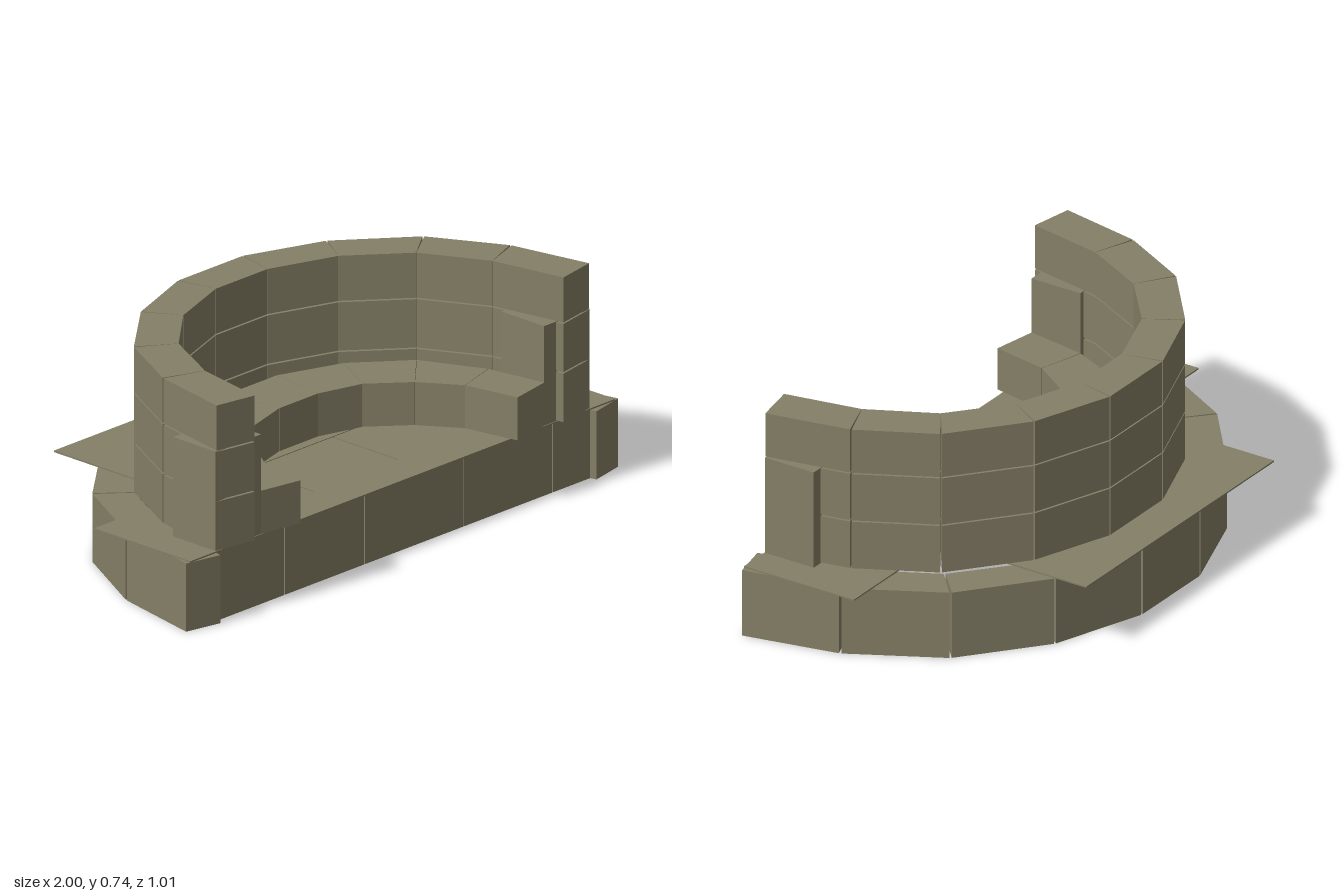
import * as THREE from 'three';

const stone = new THREE.MeshStandardMaterial({ color: 0x857f66 });
stone.name = 'weathered stone';

// Half plans as [x, z], running from the back middle to the front end
const PLANS = {
  base: {
    outer: [[0.165, -0.505], [0.49, -0.39], [0.76, -0.17], [0.93, 0.14], [1.0, 0.47]],
    inner: [[0.145, -0.375], [0.43, -0.275], [0.66, -0.08], [0.805, 0.19], [0.87, 0.498]],
  },
  wall: {
    outer: [[0.15, -0.372], [0.43, -0.27], [0.67, -0.073], [0.805, 0.183], [0.862, 0.473]],
    inner: [[0.12, -0.235], [0.36, -0.15], [0.55, 0.01], [0.665, 0.235], [0.715, 0.5]],
  },
  bench: {
    outer: [[0.115, -0.19], [0.34, -0.11], [0.52, 0.04], [0.62, 0.26], [0.655, 0.472]],
    inner: [[0.09, 0.015], [0.25, 0.06], [0.375, 0.17], [0.465, 0.305], [0.502, 0.5]],
  },
};

// Mirror a half plan into the full run from left to right
const fullRun = (half) => [...half.map(([x, z]) => [-x, z]).reverse(), ...half];

// One block: a plan quad extruded from y0 to y1
function block(corners, y0, y1) {
  const shape = new THREE.Shape(corners.map(([x, z]) => new THREE.Vector2(x, -z)));
  const geo = new THREE.ExtrudeGeometry(shape, { depth: y1 - y0, bevelEnabled: false });
  geo.rotateX(-Math.PI / 2);
  geo.translate(0, y0, 0);
  return new THREE.Mesh(geo, stone);
}

// Curved course of nine blocks, with a narrow joint between neighbours
function course(name, plan, y0, y1, outerGap, innerGap) {
  const group = new THREE.Group();
  group.name = name;
  const outer = fullRun(plan.outer);
  const inner = fullRun(plan.inner);
  const count = outer.length - 1;
  const along = (a, b, d) => {
    const t = d / Math.hypot(b[0] - a[0], b[1] - a[1]);
    return [a[0] + (b[0] - a[0]) * t, a[1] + (b[1] - a[1]) * t];
  };
  for (let i = 0; i < count; i++) {
    const s = i === 0 ? 0 : 1;
    const e = i === count - 1 ? 0 : 1;
    const mesh = block([
      along(outer[i], outer[i + 1], outerGap * s),
      along(outer[i + 1], outer[i], outerGap * e),
      along(inner[i + 1], inner[i], innerGap * e),
      along(inner[i], inner[i + 1], innerGap * s),
    ], y0, y1);
    mesh.name = name + 'Block';
    group.add(mesh);
  }
  return group;
}

// Box given by its limits on each axis
function box(name, x0, x1, y0, y1, z0, z1) {
  const mesh = new THREE.Mesh(new THREE.BoxGeometry(x1 - x0, y1 - y0, z1 - z0), stone);
  mesh.position.set((x0 + x1) / 2, (y0 + y1) / 2, (z0 + z1) / 2);
  mesh.name = name;
  return mesh;
}

export function createModel() {
  const model = new THREE.Group();
  model.name = 'curvedStoneAlcove';

  // Plinth ring and the straight front wall that closes it
  model.add(course('plinth', PLANS.base, 0, 0.233, 0.004, 0.003));
  const seams = [-0.87, -0.55, -0.18, 0.28, 0.69, 0.87];
  for (let i = 0; i < seams.length - 1; i++) {
    model.add(box('frontWall', seams[i] + 0.002, seams[i + 1] - 0.002, 0, 0.233, 0.465, 0.475));
  }

  // Thin floor slabs whose square corners overhang the plinth
  const fy0 = 0.233, fy1 = 0.238;
  model.add(box('backFloor', -0.58, 0.49, fy0, fy1, -0.51, 0.049));
  model.add(box('frontFloor', -0.985, 0.98, fy0, fy1, 0.34, 0.475));
  for (const [x0, x1] of [[-0.985, -0.274], [-0.268, 0.115], [0.121, 0.98]]) {
    model.add(box('middleFloor', x0, x1, fy0, fy1, 0.053, 0.34));
  }

  // Three wall courses
  for (const [y0, y1] of [[0.24, 0.406], [0.411, 0.576], [0.581, 0.735]]) {
    model.add(course('wall', PLANS.wall, y0, y1, 0.003, 0.0005));
  }

  // Low curved bench inside the wall
  model.add(course('bench', PLANS.bench, 0.238, 0.385, 0.001, 0.0005));

  // Piers set through the wall at both ends
  model.add(box('leftPier', 0.655, 0.865, 0.238, 0.578, 0.285, 0.472));
  model.add(box('rightPier', -0.865, -0.655, 0.238, 0.578, 0.285, 0.472));

  return model;
}
